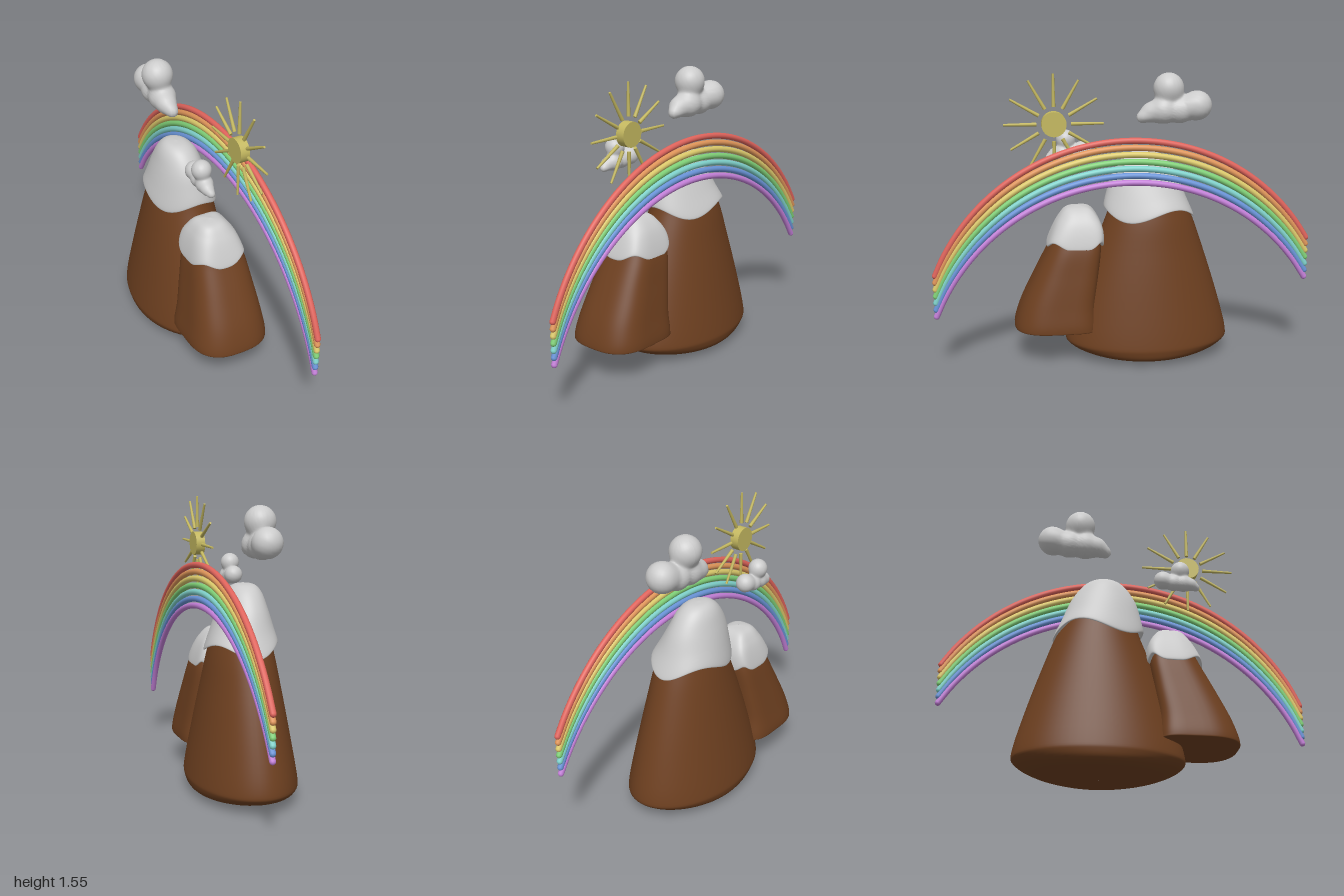
import * as THREE from 'three';

const SNOW = 0xcccccc, EARTH = 0x6e4020, GOLD = 0xc4b860;
const paint = (color) => new THREE.MeshStandardMaterial({ color });

function part(parent, name, geometry, material) {
  const mesh = new THREE.Mesh(geometry, material);
  mesh.name = name;
  parent.add(mesh);
  return mesh;
}

// Smooth skin over rounded cross-sections.
// Each section: [y, centre x, centre z, half width, half depth, hem weight]
function loft(sections, { front = 2, back = 2, hem = () => 0, rows = 48, cols = 64 } = {}) {
  const centres = new THREE.CatmullRomCurve3(
    sections.map((s) => new THREE.Vector3(s[1], s[0], s[2])), false, 'catmullrom', 0.5);
  const sizes = new THREE.CatmullRomCurve3(
    sections.map((s) => new THREE.Vector3(s[3], s[4], s[5] ?? 0)), false, 'catmullrom', 0.5);
  const bend = (v, n) => Math.sign(v) * Math.abs(v) ** (2 / n);
  const positions = [], index = [];
  for (let j = 0; j <= rows; j++) {
    const c = centres.getPoint(j / rows), s = sizes.getPoint(j / rows);
    for (let i = 0; i < cols; i++) {
      const a = (i / cols) * Math.PI * 2;
      const n = Math.sin(a) > 0 ? front : back;
      positions.push(
        c.x + s.x * bend(Math.cos(a), n),
        c.y + s.z * hem(a),
        c.z + s.y * bend(Math.sin(a), n));
      if (j === rows) continue;
      const p = j * cols + i, q = j * cols + ((i + 1) % cols);
      index.push(p, p + cols, q, q, p + cols, q + cols);
    }
  }
  const g = new THREE.BufferGeometry();
  g.setAttribute('position', new THREE.Float32BufferAttribute(positions, 3));
  g.setIndex(index);
  g.computeVertexNormals();
  return g;
}

// Puffs melted together: [x, y, z, radius]
const PUFFS = [
  [-0.012, 0.098, 0.02, 0.082],
  [0.01, 0.005, -0.132, 0.08],
  [0, -0.02, 0.05, 0.072],
  [-0.01, -0.03, 0.115, 0.052],
  [0, -0.055, 0.165, 0.03],
  [0, -0.02, -0.04, 0.07],
];
function cloudGeometry() {
  const k = 0.012, p = new THREE.Vector3(), d = new THREE.Vector3();
  const inside = () => PUFFS.reduce((sum, [x, y, z, r]) =>
    sum + Math.exp((r - Math.hypot(p.x - x, p.y - y, p.z - z)) / k), 0) > 1;
  const g = new THREE.SphereGeometry(1, 64, 48);
  const pos = g.attributes.position;
  for (let i = 0; i < pos.count; i++) {
    d.fromBufferAttribute(pos, i).normalize();
    let r = 0.3;
    while (r > 0.02 && (p.copy(d).multiplyScalar(r), !inside())) r -= 0.001;
    pos.setXYZ(i, p.x, Math.max(p.y, -0.09 + 0.1 * (p.y + 0.09)), p.z);
  }
  g.computeVertexNormals();
  return g;
}

export function createModel() {
  const model = new THREE.Group();
  model.name = 'mountainScene';
  const earth = paint(EARTH), snow = paint(SNOW), gold = paint(GOLD);

  // Large mountain with a rounded underside
  part(model, 'largeMountain', loft([
    [0.005, 0, -0.145, 0.001, 0.001],
    [0.012, 0, -0.145, 0.17, 0.17],
    [0.035, 0, -0.145, 0.255, 0.33],
    [0.08, 0, -0.145, 0.28, 0.43],
    [0.14, 0, -0.145, 0.277, 0.443],
    [0.35, 0, -0.147, 0.242, 0.385],
    [0.6, 0, -0.152, 0.198, 0.3],
    [0.8, 0, -0.155, 0.16, 0.225],
    [0.95, -0.01, -0.14, 0.11, 0.16],
    [1.0, -0.02, -0.13, 0.001, 0.001],
  ]), earth);
  part(model, 'largeSnowCap', loft([
    [0.86, 0, -0.15, 0.13, 0.18, 1],
    [0.815, 0, -0.155, 0.165, 0.225, 1],
    [0.81, 0, -0.155, 0.186, 0.245, 1],
    [0.9, -0.01, -0.142, 0.158, 0.215, 0.5],
    [1.0, -0.02, -0.133, 0.124, 0.178, 0.1],
    [1.08, -0.025, -0.13, 0.094, 0.125],
    [1.12, -0.03, -0.13, 0.055, 0.07],
    [1.13, -0.03, -0.13, 0.001, 0.001],
  ], { hem: (a) => 0.03 * Math.cos(3 * (a - Math.PI / 2)) }), snow);

  // Small mountain, nearly upright where it leans on the large one
  const blocky = { front: 2.7, back: 5 };
  part(model, 'smallMountain', loft([
    [0.18, -0.012, 0.35, 0.001, 0.001],
    [0.18, -0.012, 0.35, 0.1, 0.11],
    [0.183, -0.012, 0.355, 0.2, 0.207],
    [0.205, -0.012, 0.36, 0.217, 0.22],
    [0.32, -0.01, 0.345, 0.2, 0.2],
    [0.48, -0.007, 0.298, 0.174, 0.171],
    [0.64, -0.005, 0.25, 0.145, 0.137],
    [0.74, -0.01, 0.24, 0.1, 0.1],
    [0.76, -0.01, 0.24, 0.001, 0.001],
  ], blocky), earth);
  part(model, 'smallSnowCap', loft([
    [0.68, -0.01, 0.25, 0.11, 0.11, 1],
    [0.65, -0.01, 0.25, 0.135, 0.13, 1],
    [0.65, -0.01, 0.248, 0.152, 0.152, 1],
    [0.72, -0.012, 0.235, 0.135, 0.137, 0.4],
    [0.78, -0.015, 0.23, 0.108, 0.108],
    [0.83, -0.02, 0.23, 0.065, 0.065],
    [0.845, -0.02, 0.23, 0.001, 0.001],
  ], { ...blocky, hem: (a) => -0.018 * Math.cos(4 * (a - Math.PI / 2)) }), snow);

  // Clouds
  const puff = cloudGeometry();
  part(model, 'largeCloud', puff, snow).position.set(-0.05, 1.36, -0.29);
  const small = part(model, 'smallCloud', puff, snow);
  small.position.set(-0.095, 1.127, 0.27);
  small.scale.setScalar(0.62);

  // Sun: a disc facing sideways with twelve rays
  const sun = new THREE.Group();
  sun.name = 'sun';
  sun.position.set(0.065, 1.293, 0.355);
  model.add(sun);
  const disc = part(sun, 'sunDisc', new THREE.CylinderGeometry(0.065, 0.065, 0.05, 32), gold);
  disc.rotation.z = Math.PI / 2;
  const ray = new THREE.CylinderGeometry(0.006, 0.01, 0.17, 8);
  ray.translate(0, 0.175, 0);
  for (let i = 0; i < 12; i++) {
    part(sun, 'sunRay', ray, gold).rotation.x = (i * Math.PI) / 6;
  }

  // Rainbow: one arc repeated downwards in seven colours
  const rainbow = new THREE.Group();
  rainbow.name = 'rainbow';
  rainbow.position.x = 0.16;
  model.add(rainbow);
  const R = 1.106, zc = -0.035, yc = 0.107, pts = [];
  const from = Math.asin((-0.988 - zc) / R), to = Math.asin((0.988 - zc) / R);
  for (let i = 0; i <= 24; i++) {
    const t = from + ((to - from) * i) / 24;
    pts.push(new THREE.Vector3(0, yc + R * Math.cos(t), zc + R * Math.sin(t)));
  }
  const arc = new THREE.TubeGeometry(new THREE.CatmullRomCurve3(pts), 80, 0.016, 12);
  const tip = new THREE.SphereGeometry(0.016, 12, 8);
  [0xe0645c, 0xe0965a, 0xdcca6c, 0x80d078, 0x80d2cc, 0x6a94d8, 0xc480d8].forEach((color, i) => {
    const band = new THREE.Group();
    band.name = 'rainbowBand';
    band.position.y = -0.0368 * i;
    rainbow.add(band);
    const material = paint(color);
    part(band, 'bandArc', arc, material);
    for (const end of [pts[0], pts[24]]) part(band, 'bandTip', tip, material).position.copy(end);
  });

  return model;
}
